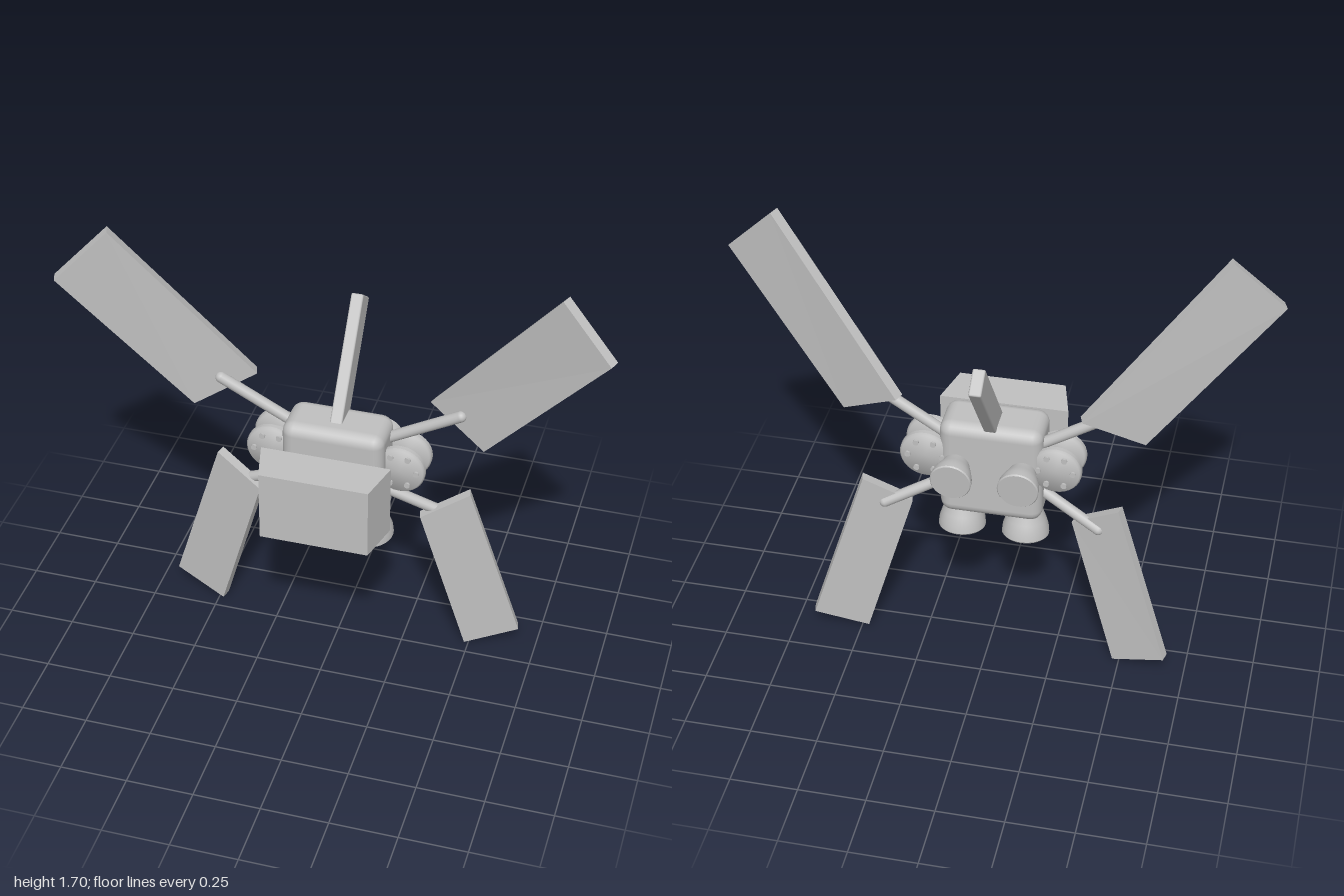
import * as THREE from 'three';
import { toCreasedNormals } from 'three/addons/utils/BufferGeometryUtils.js';
import { RoundedBoxGeometry } from 'three/addons/geometries/RoundedBoxGeometry.js';

const V = (x, y, z) => new THREE.Vector3(x, y, z);

// Solid slab: a front quad (any winding) pushed back along its normal
function slabGeometry(front, thickness) {
  let q = front;
  const normalOf = (p) => p[1].clone().sub(p[0]).cross(p[3].clone().sub(p[0])).normalize();
  if (normalOf(q).z < 0) q = [...q].reverse();
  const offset = normalOf(q).multiplyScalar(-thickness);
  const b = q.map((p) => p.clone().add(offset));
  const pos = [];
  const quad = (a, c, d, e) => [a, c, d, a, d, e].forEach((p) => pos.push(p.x, p.y, p.z));
  quad(...q);
  quad(b[3], b[2], b[1], b[0]);
  for (let i = 0; i < 4; i++) {
    const j = (i + 1) % 4;
    quad(q[i], b[i], b[j], q[j]);
  }
  const geo = new THREE.BufferGeometry();
  geo.setAttribute('position', new THREE.Float32BufferAttribute(pos, 3));
  geo.computeVertexNormals();
  return geo;
}

// Bell nozzle hanging down from its narrow end at the origin
function nozzleGeometry(r0, r1, length) {
  const profile = [
    [0, -1, 0], [r1 * 0.95, -1, 0], [r1, -0.95, 0], [r1 * 0.97, -0.7, 0],
    [r0 + (r1 - r0) * 0.6, -0.4, 0], [r0 + (r1 - r0) * 0.2, -0.1, 0], [r0, 0.15, 0],
  ].map(([r, y]) => new THREE.Vector2(r, y * length));
  return toCreasedNormals(new THREE.LatheGeometry(profile, 32), 0.7);
}

export function createModel() {
  const group = new THREE.Group();
  const grey = new THREE.MeshStandardMaterial({ color: 0xc0c0c0 });
  grey.name = 'grey';

  const add = (name, geo, x = 0, y = 0, z = 0) => {
    const mesh = new THREE.Mesh(geo, grey);
    mesh.name = name;
    mesh.position.set(x, y, z);
    group.add(mesh);
    return mesh;
  };

  // Round-ended rod between two points
  const rod = (name, a, b, r) => {
    const d = b.clone().sub(a);
    const mid = a.clone().add(b).multiplyScalar(0.5);
    const mesh = add(name, new THREE.CapsuleGeometry(r, d.length(), 8, 16), mid.x, mid.y, mid.z);
    mesh.quaternion.setFromUnitVectors(V(0, 1, 0), d.normalize());
  };

  // Central pack body
  add('body', new RoundedBoxGeometry(0.38, 0.4, 0.195, 3, 0.045), 0, 0.802, 0.0075);

  // Separate front block, narrowing towards the front
  const block = new THREE.BoxGeometry(0.48, 0.275, 0.16);
  const p = block.attributes.position;
  for (let i = 0; i < p.count; i++) if (p.getZ(i) > 0) p.setX(i, Math.sign(p.getX(i)) * 0.2);
  block.computeVertexNormals();
  add('frontBlock', block, 0, 0.803, 0.248);

  // Backward-leaning top fin
  const fin = add('topFin', new RoundedBoxGeometry(0.046, 0.48, 0.1, 1, 0.006), 0, 1.156, -0.142);
  fin.rotation.x = -THREE.MathUtils.degToRad(37);

  for (const s of [1, -1]) {
    const side = s > 0 ? 'left' : 'right';

    // Large upper and smaller lower wing panels
    add(side + 'UpperWing', slabGeometry([
      V(s * 0.8, 1.705, 0.11), V(s * 0.985, 1.515, 0.17),
      V(s * 0.54, 0.973, 0.02), V(s * 0.323, 1.093, -0.06),
    ], 0.042));
    add(side + 'LowerWing', slabGeometry([
      V(s * 0.484, 0.711, -0.053), V(s * 0.682, 0.075, -0.1),
      V(s * 0.484, 0.003, -0.052), V(s * 0.308, 0.604, -0.01),
    ], 0.039));

    // Struts joining the wings to the body
    rod(side + 'UpperStrut', V(s * 0.16, 0.92, -0.03), V(s * 0.445, 1.086, -0.012), 0.021);
    rod(side + 'LowerStrut', V(s * 0.16, 0.72, -0.01), V(s * 0.4, 0.6, -0.065), 0.021);

    // Paired side discs with rings of bolts on their outer faces
    for (const [z, dir] of [[0.036, 1], [-0.064, -1]]) {
      const profile = [[0, -0.016], [0.088, -0.016], [0.095, -0.008], [0.095, 0.008], [0.088, 0.016], [0, 0.016]]
        .map(([r, y]) => new THREE.Vector2(r, y));
      const disc = add(side + 'Disc', toCreasedNormals(new THREE.LatheGeometry(profile, 32), 0.9), s * 0.24, 0.849, z);
      disc.rotation.x = Math.PI / 2;
      for (let i = 0; i < 6; i++) {
        const a = (i * Math.PI) / 3;
        const bolt = add(side + 'DiscBolt', new THREE.CylinderGeometry(0.011, 0.011, 0.012, 12),
          s * 0.24 + 0.064 * Math.cos(a), 0.849 + 0.064 * Math.sin(a), z + dir * 0.018);
        bolt.rotation.x = Math.PI / 2;
      }
    }
    const hub = add(side + 'DiscHub', new THREE.CylinderGeometry(0.035, 0.035, 0.09, 20), s * 0.24, 0.849, -0.014);
    hub.rotation.x = Math.PI / 2;

    // Lower and rear nozzles
    const lower = add(side + 'LowerNozzle', nozzleGeometry(0.055, 0.088, 0.11), s * 0.12, 0.608, 0.005);
    lower.rotation.x = THREE.MathUtils.degToRad(7);
    const rear = add(side + 'RearNozzle', nozzleGeometry(0.046, 0.076, 0.1), s * 0.123, 0.829, -0.086);
    rear.rotation.x = THREE.MathUtils.degToRad(86);
  }
  return group;
}
